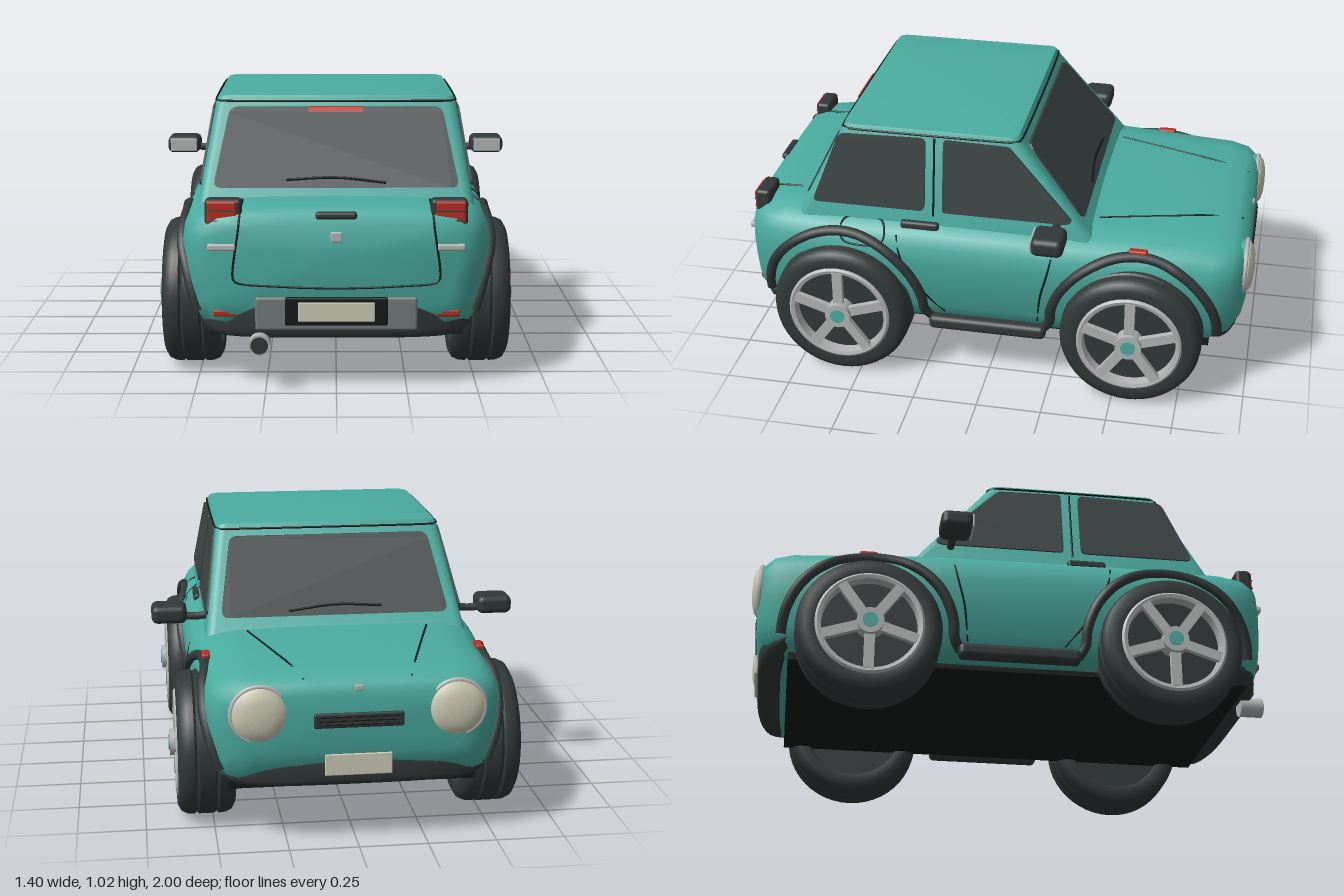
import * as THREE from 'three';
import { toCreasedNormals } from 'three/addons/utils/BufferGeometryUtils.js';
import { RoundedBoxGeometry } from 'three/addons/geometries/RoundedBoxGeometry.js';

const mat = (name, color) => Object.assign(new THREE.MeshStandardMaterial({ color }), { name });
const PAINT = mat('teal paint', 0x4aaca0), GLASS = mat('dark glass', 0x3c4343), TRIM = mat('black trim', 0x323838);
const SEAM = mat('seam black', 0x151919), METAL = mat('silver', 0xb4b6b6), GREY = mat('grey panel', 0x747a7a);
const RED = mat('red lens', 0xb82e22), CREAM = mat('cream', 0xcfccb6);

// Body stations: z, half width, top, bottom
const STATIONS = [
  [-0.975, 0.40, 0.57, 0.36], [-0.962, 0.455, 0.605, 0.31], [-0.92, 0.505, 0.627, 0.25], [-0.85, 0.53, 0.637, 0.22],
  [-0.6, 0.543, 0.647, 0.21], [-0.3, 0.568, 0.655, 0.21], [0.3, 0.57, 0.66, 0.21], [0.6, 0.565, 0.66, 0.21],
  [0.8, 0.55, 0.66, 0.21], [0.89, 0.525, 0.655, 0.22], [0.94, 0.485, 0.637, 0.25], [0.96, 0.43, 0.6, 0.31]];
// Half section: share of half width, share of height
const SECTION = [[0, 0], [0.8, 0], [0.9, 0.06], [0.945, 0.2], [0.985, 0.45], [1, 0.66], [0.985, 0.79], [0.94, 0.89],
  [0.86, 0.96], [0.7, 0.99], [0.35, 1.0], [0, 1.005]];

const lerp = THREE.MathUtils.lerp;
function table(rows, key) {
  let i = 1;
  while (i < rows.length - 1 && rows[i][0] < key) i++;
  const a = rows[i - 1], b = rows[i], t = THREE.MathUtils.clamp((key - a[0]) / (b[0] - a[0]), 0, 1);
  return a.map((v, k) => lerp(v, b[k], t));
}
// Points on the painted body surface
function sideX(z, y) {
  const [, w, top, bottom] = table(STATIONS, z);
  return w * table(SECTION.slice(1).map(([a, b]) => [b, a]), (y - bottom) / (top - bottom))[1];
}
function topY(x, z) {
  const [, w, top, bottom] = table(STATIONS, z);
  const upper = SECTION.slice(5).reverse();
  return bottom + (top - bottom) * table(upper, Math.abs(x) / w)[1];
}
// Cabin walls lean in with height
const leanAt = (y) => (y - 0.66) / 0.325;
const cabin = (y) => ({ w: lerp(0.495, 0.44, leanAt(y)), front: lerp(-0.372, -0.11, leanAt(y)), rear: lerp(0.738, 0.575, leanAt(y)) });

// Closed surface through rings of equal length, faces turned outward
function loft(rings, crease = 0.6) {
  const n = rings[0].length, pos = rings.flat(2), idx = [];
  for (let i = 0; i < rings.length - 1; i++) for (let j = 0; j < n; j++) {
    const a = i * n + j, b = i * n + (j + 1) % n;
    idx.push(a, b, a + n, b, b + n, a + n);
  }
  [rings[0], rings[rings.length - 1]].forEach((ring, end) => {
    const c = pos.length / 3, base = end * (rings.length - 1) * n;
    for (let k = 0; k < 3; k++) pos.push(ring.reduce((s, p) => s + p[k], 0) / n);
    for (let j = 0; j < n; j++) {
      const a = base + j, b = base + (j + 1) % n;
      if (end) idx.push(a, b, c); else idx.push(b, a, c);
    }
  });
  const at = (i) => new THREE.Vector3().fromArray(pos, i * 3);
  let volume = 0;
  for (let i = 0; i < idx.length; i += 3) volume += at(idx[i]).dot(at(idx[i + 1]).cross(at(idx[i + 2])));
  if (volume < 0) idx.reverse();
  const g = new THREE.BufferGeometry();
  g.setAttribute('position', new THREE.Float32BufferAttribute(pos, 3));
  g.setIndex(idx);
  return toCreasedNormals(g, crease);
}
// Thin plate with rounded corners, laid on a surface by map(u, v, depth)
function plate(pts, r, map, depth = 0.008) {
  const shape = new THREE.Shape(), v = pts.map((p) => new THREE.Vector2(...p));
  v.forEach((p, i) => {
    const toward = (q) => p.clone().add(q.clone().sub(p).setLength(r));
    const a = toward(v[(i + v.length - 1) % v.length]), b = toward(v[(i + 1) % v.length]);
    if (i) shape.lineTo(a.x, a.y); else shape.moveTo(a.x, a.y);
    shape.quadraticCurveTo(p.x, p.y, b.x, b.y);
  });
  const g = new THREE.ExtrudeGeometry(shape, { depth, bevelEnabled: false, curveSegments: 5 });
  const p = g.attributes.position, [u0, v0] = pts[0], at = (...q) => new THREE.Vector3(...map(...q)), o = at(u0, v0, 0);
  const flip = at(u0 + 0.01, v0, 0).sub(o).cross(at(u0, v0 + 0.01, 0).sub(o)).dot(at(u0, v0, 0.01).sub(o)) < 0;
  const out = [];
  for (let i = 0; i < p.count; i++) {
    const k = flip ? i - (i % 3) + 2 - (i % 3) : i;
    out.push(...map(p.getX(k), p.getY(k), p.getZ(k)));
  }
  g.setAttribute('position', new THREE.Float32BufferAttribute(out, 3));
  g.computeVertexNormals();
  return g;
}
const tube = (pts, r, closed = false, seg = 40) =>
  new THREE.TubeGeometry(new THREE.CatmullRomCurve3(pts.map((p) => new THREE.Vector3(...p)), closed), seg, r, 8, closed);

export function createModel() {
  const car = new THREE.Group();
  car.name = 'car';
  const add = (name, geo, material, x = 0, y = 0, z = 0, parent = car) => {
    const m = new THREE.Mesh(geo, material);
    m.name = name;
    m.position.set(x, y, z);
    parent.add(m);
    return m;
  };
  const box = (name, material, w, h, d, x, y, z, r = 0.01) => add(name, new RoundedBoxGeometry(w, h, d, 3, r), material, x, y, z);

  // Lower body and floor
  add('body', loft(STATIONS.map(([z, w, top, bottom]) => {
    const half = SECTION.map(([a, b]) => [a * w, bottom + b * (top - bottom), z]);
    return [...half, ...half.slice(1, -1).reverse().map(([x, y]) => [-x, y, z])];
  }), 0.9), PAINT);
  add('floor', new THREE.BoxGeometry(0.9, 0.03, 1.74), SEAM, 0, 0.205, 0.02);

  // Cabin with a crowned roof
  const ring = (y, inset = 0) => {
    const { w, front, rear } = cabin(y), r = 0.035, pts = [];
    [[1, 1], [-1, 1], [-1, -1], [1, -1]].forEach(([sx, sz], q) => {
      for (let i = 0; i <= 4; i++) {
        const a = (q + i / 4) * Math.PI / 2;
        pts.push([sx * (w - inset - r) + r * Math.cos(a), y, (sz > 0 ? rear - inset - r : front + inset + r) + r * Math.sin(a)]);
      }
    });
    return pts;
  };
  const rim = ring(0.985, 0.008).map(([x, , z]) => [x, 1.0, z]);
  const crown = [1, 0.85, 0.7, 0.5, 0.3, 0.1].map((k) => rim.map(([x, , z]) =>
    [x * k, 1.0 + 0.026 * (1 - (x * k / 0.435) ** 2), 0.232 + (z - 0.232) * k]));
  add('cabin', loft([ring(0.6), ring(0.66), ring(0.985), ...crown], 0.5), PAINT);
  add('roofSeam', tube(ring(0.985, -0.001), 0.004, true, 80), SEAM);

  // Windscreen, rear window and wipers
  const onRear = (u, v, d) => [u, v, cabin(v).rear + d];
  const onFront = (u, v, d) => [u, v, cabin(v).front - d];
  add('rearWindow', plate([[-0.445, 0.69], [0.445, 0.69], [0.388, 0.965], [-0.388, 0.965]], 0.03, onRear), GLASS);
  add('windscreen', plate([[-0.44, 0.69], [0.44, 0.69], [0.39, 0.96], [-0.39, 0.96]], 0.03, onFront), GLASS);
  add('highBrakeLight', plate([[-0.1, 0.948], [0.1, 0.948], [0.1, 0.966], [-0.1, 0.966]], 0.005, onRear, 0.018), RED);
  for (const [name, on] of [['rearWiper', onRear], ['frontWiper', onFront]])
    add(name, tube([[-0.18, 0.718], [0, 0.725], [0.18, 0.708]].map(([u, v]) => on(u, v, 0.012)), 0.005), SEAM);

  // Rear bumper and front bumper, curved back at the corners
  const bumper = (name, z0, dir, y, hy, hz) => add(name, loft(Array.from({ length: 25 }, (_, i) => {
    const t = Math.sin((i / 12 - 1) * Math.PI / 2), x = 0.485 * t, k = Math.max(0.12, (1 - t ** 16) ** 0.5);
    return Array.from({ length: 20 }, (_, j) => {
      const a = j * Math.PI / 10, c = Math.cos(a), s = Math.sin(a);
      return [x, y + hy * k * Math.sign(s) * Math.abs(s) ** 0.5, z0 - dir * 1.3 * x ** 4 + hz * k * Math.sign(c) * Math.abs(c) ** 0.5];
    });
  }), 0.9), TRIM);
  bumper('rearBumper', 0.928, 1, 0.27, 0.078, 0.04);
  bumper('frontBumper', -0.915, -1, 0.285, 0.062, 0.05);
  box('bumperPanel', GREY, 0.57, 0.12, 0.03, 0, 0.285, 0.956);
  box('plateHolder', SEAM, 0.36, 0.1, 0.02, 0, 0.295, 0.968, 0.005);
  box('rearPlate', CREAM, 0.27, 0.07, 0.012, 0, 0.295, 0.976, 0.004);
  box('frontPlate', CREAM, 0.24, 0.08, 0.014, 0, 0.31, -0.97, 0.004);

  // Tailgate seam, handle and badge
  add('tailgateSeam', tube([[-0.335, topY(0.335, 0.78), 0.78], [-0.335, topY(0.335, 0.89), 0.89], [-0.338, 0.626, 0.945], [-0.342, 0.585, 0.961],
    [-0.362, 0.41, 0.961], [-0.352, 0.397, 0.961], [-0.2, 0.382, 0.961], [0, 0.376, 0.961], [0.2, 0.382, 0.961], [0.352, 0.397, 0.961],
    [0.362, 0.41, 0.961], [0.342, 0.585, 0.961], [0.338, 0.626, 0.945], [0.335, topY(0.335, 0.89), 0.89], [0.335, topY(0.335, 0.78), 0.78]], 0.004, false, 120), SEAM);
  box('tailgateHandle', TRIM, 0.145, 0.028, 0.03, 0, 0.633, 0.945, 0.012);
  box('rearBadge', METAL, 0.04, 0.036, 0.014, 0, 0.56, 0.962, 0.005);

  // Nose grille and badge
  box('grille', TRIM, 0.32, 0.055, 0.02, 0, 0.475, -0.973, 0.008);
  for (let i = -1; i <= 1; i++) box('grilleSlat', SEAM, 0.29, 0.006, 0.008, 0, 0.475 + i * 0.014, -0.981, 0.002);
  box('frontBadge', METAL, 0.03, 0.02, 0.012, 0, 0.59, -0.967, 0.004);

  // Exhaust on one side
  const pipe = add('exhaustPipe', new THREE.CylinderGeometry(0.038, 0.038, 0.09, 24), METAL, -0.27, 0.178, 0.953);
  const bore = add('exhaustBore', new THREE.CylinderGeometry(0.031, 0.031, 0.004, 24), TRIM, -0.27, 0.178, 0.998);
  pipe.rotation.x = bore.rotation.x = Math.PI / 2;

  // Fuel flap outline on one side
  const flap = [[0.42, 0.56], [0.55, 0.56], [0.57, 0.585], [0.57, 0.62], [0.55, 0.635], [0.42, 0.635], [0.4, 0.615], [0.4, 0.58]];
  add('fuelFlapSeam', tube(flap.map(([z, y]) => [sideX(z, y), y, z]), 0.004, true, 60), SEAM);

  // Wheel shared shapes, axis along y
  const lathe = (pts) => toCreasedNormals(new THREE.LatheGeometry(pts.map((p) => new THREE.Vector2(...p)), 48), 0.7);
  const tyre = lathe([[0.19, -0.08], [0.2, -0.1], [0.235, -0.105], [0.258, -0.092], [0.268, -0.07], [0.27, -0.045], [0.262, -0.037], [0.27, -0.028],
    [0.27, 0.028], [0.262, 0.037], [0.27, 0.045], [0.268, 0.07], [0.258, 0.092], [0.235, 0.105], [0.2, 0.1], [0.19, 0.06]]);
  const rimRing = lathe([[0.2, 0.07], [0.2, 0.104], [0.192, 0.11], [0.178, 0.106], [0.175, 0.06]]);
  const disc = (r, h, y) => new THREE.CylinderGeometry(r, r, h, 32).translate(0, y, 0);
  const spoke = new THREE.BoxGeometry(0.038, 0.022, 0.15).translate(0, 0.1, 0.108);

  for (const s of [1, -1]) {
    // Wheels
    for (const z of [0.567, -0.562]) {
      const wheel = new THREE.Group();
      wheel.name = z > 0 ? 'rearWheel' : 'frontWheel';
      wheel.position.set(s * 0.525, 0.275, z);
      wheel.rotation.z = -s * Math.PI / 2;
      car.add(wheel);
      add('tyre', tyre, TRIM, 0, 0, 0, wheel);
      add('wheelBack', disc(0.195, 0.14, -0.005), TRIM, 0, 0, 0, wheel);
      add('rim', rimRing, METAL, 0, 0, 0, wheel);
      for (let i = 0; i < 5; i++) add('spoke', spoke, METAL, 0, 0, 0, wheel).rotation.y = -s * Math.PI / 2 + Math.PI + i * Math.PI * 0.4 + (s > 0 ? 0 : Math.PI) + Math.PI;
      add('hub', disc(0.05, 0.06, 0.098), METAL, 0, 0, 0, wheel);
      add('hubCap', disc(0.028, 0.01, 0.127), PAINT, 0, 0, 0, wheel);
      // Arch trim follows the body side and runs into the sill
      const dir = Math.sign(z), pts = [];
      for (let i = 0; i <= 18; i++) {
        const a = (i / 18) * Math.PI, zz = z + dir * 0.318 * Math.cos(a), yy = 0.278 + 0.318 * Math.sin(a);
        pts.push([s * (sideX(zz, yy) + 0.004), yy, zz]);
      }
      pts.push([s * (sideX(z - dir * 0.345, 0.235) + 0.004), 0.235, z - dir * 0.345]);
      add('archTrim', tube(pts, 0.02, false, 60), TRIM);
    }
    box('sill', TRIM, 0.06, 0.055, 0.46, s * 0.53, 0.227, 0, 0.02);

    // Side windows and pillar seam
    const onSide = (u, v, d) => [s * (cabin(v).w + d), v, u];
    add('rearSideWindow', plate([[0.69, 0.69], [0.585, 0.965], [0.248, 0.973], [0.248, 0.69]], 0.025, onSide), GLASS);
    add('doorWindow', plate([[0.18, 0.69], [0.18, 0.973], [-0.07, 0.968], [-0.32, 0.705], [-0.3, 0.69]], 0.015, onSide), GLASS);
    add('pillarSeam', tube([onSide(0.215, 0.67, 0), onSide(0.215, 0.975, 0)], 0.004), SEAM);

    // Door seams and handle
    for (const seam of [[[0.35, 0.6], [0.335, 0.53], [0.29, 0.43], [0.23, 0.34], [0.17, 0.27]], [[-0.25, 0.57], [-0.235, 0.5], [-0.21, 0.4], [-0.195, 0.27]]])
      add('doorSeam', tube(seam.map(([z, y]) => [s * sideX(z, y), y, z]), 0.004), SEAM);
    box('doorHandle', TRIM, 0.03, 0.034, 0.15, s * (sideX(0.265, 0.632) + 0.002), 0.632, 0.265, 0.012);
    box('sideMarker', RED, 0.03, 0.022, 0.07, s * 0.512, 0.612, -0.572, 0.008);

    // Bonnet seam
    add('bonnetSeam', tube([0, 0.25, 0.5, 0.75, 1].map((t) => {
      const x = lerp(0.345, 0.19, t), z = lerp(-0.4, -0.94, t);
      return [s * x, topY(x, z), z];
    }), 0.004), SEAM);

    // Door mirror
    box('mirrorHousing', TRIM, 0.135, 0.07, 0.12, s * 0.635, 0.695, -0.255, 0.024);
    box('mirrorGlass', METAL, 0.11, 0.052, 0.008, s * 0.635, 0.695, -0.195, 0.003);
    add('mirrorArm', tube([[s * 0.47, 0.685, -0.26], [s * 0.53, 0.678, -0.26], [s * 0.6, 0.68, -0.26]], 0.015), TRIM);

    // Tail lamp with slats and reversing lamp
    box('tailLampFrame', TRIM, 0.13, 0.17, 0.06, s * 0.395, 0.602, 0.905, 0.015);
    box('tailLamp', RED, 0.105, 0.135, 0.03, s * 0.4, 0.613, 0.925, 0.008);
    for (let i = -1; i <= 1; i++) box('lampSlat', TRIM, 0.1, 0.005, 0.006, s * 0.4, 0.613 + i * 0.034, 0.94, 0.002);
    box('reversingLamp', METAL, 0.1, 0.025, 0.04, s * 0.4, 0.523, 0.95, 0.008);
    box('rearReflector', RED, 0.085, 0.026, 0.03, s * 0.392, 0.282, 0.935, 0.008);

    // Headlamp
    const lamp = add('headlamp', lathe([[0.098, 0], [0.096, 0.018], [0.08, 0.03], [0.05, 0.038], [0, 0.041]]), CREAM, s * 0.35, 0.505, -0.959);
    const bezel = add('headlampRing', new THREE.TorusGeometry(0.1, 0.009, 8, 40), METAL, s * 0.35, 0.505, -0.966);
    const cup = add('headlampCup', new THREE.CylinderGeometry(0.104, 0.104, 0.06, 40), PAINT, s * 0.35, 0.505, -0.936);
    lamp.rotation.x = cup.rotation.x = -Math.PI / 2;
    bezel.rotation.z = 0;
  }
  return car;
}
